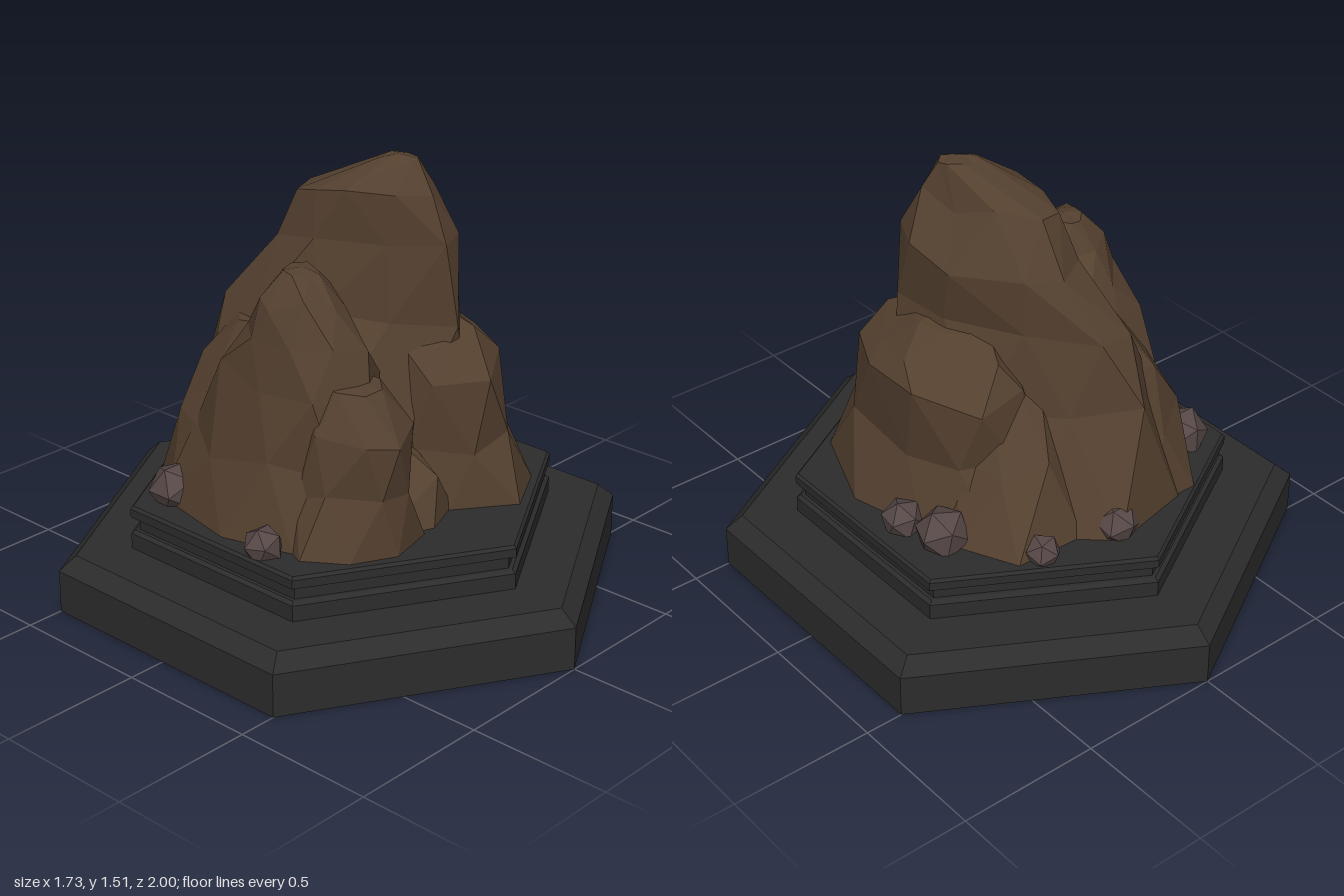
import * as THREE from 'three';

const stone = new THREE.MeshStandardMaterial({ color: 0x54402f, flatShading: true });
const pebbleStone = new THREE.MeshStandardMaterial({ color: 0x564847, flatShading: true });
const plinthStone = new THREE.MeshStandardMaterial({ color: 0x2c2c2c, flatShading: true });

function seeded(seed) {
  let s = seed;
  return () => (s = (s * 16807) % 2147483647) / 2147483647;
}

// Faceted rock from rings [y, centre x, centre z, radius x, radius z, skew of x along z];
// every ring is turned half a step so the facets interlock.
function rock(name, sides, seed, rings) {
  const rand = seeded(seed * 7919 + 13);
  for (let i = 0; i < 5; i++) rand();
  const jitter = (amount) => (rand() - 0.5) * 2 * amount;
  const pos = [], index = [];
  rings.forEach(([y, cx, cz, rx, rz, skew = 0], r) => {
    for (let i = 0; i < sides; i++) {
      const a = ((i + r * 0.5 + jitter(0.18)) / sides) * Math.PI * 2;
      const k = 1.04 + jitter(0.07);
      const dy = r === 0 ? 0 : jitter(r === rings.length - 1 ? 0.012 : 0.035);
      const z = Math.cos(a) * rz * k;
      pos.push(cx + Math.sin(a) * rx * k + z * skew, y + dy, cz + z);
    }
  });
  for (let r = 0; r < rings.length - 1; r++) {
    for (let i = 0; i < sides; i++) {
      const a = r * sides + i, b = r * sides + ((i + 1) % sides);
      index.push(a, b, a + sides, b, b + sides, a + sides);
    }
  }
  // cap
  const [y, cx, cz] = rings[rings.length - 1];
  const last = (rings.length - 1) * sides;
  pos.push(cx, y + 0.015, cz);
  for (let i = 0; i < sides; i++) index.push(last + i, last + ((i + 1) % sides), rings.length * sides);

  const geometry = new THREE.BufferGeometry();
  geometry.setAttribute('position', new THREE.Float32BufferAttribute(pos, 3));
  geometry.setIndex(index);
  const flat = geometry.toNonIndexed();
  flat.computeVertexNormals();
  const mesh = new THREE.Mesh(flat, stone);
  mesh.name = name;
  return mesh;
}

export function createModel() {
  const model = new THREE.Group();
  model.name = 'rockOnPlinth';

  // Stepped hexagonal plinth
  const profile = [
    [0, 0], [1, 0], [1, 0.15], [0.94, 0.2], [0.75, 0.2], [0.75, 0.255], [0.735, 0.265],
    [0.72, 0.265], [0.72, 0.31], [0.75, 0.315], [0.75, 0.345], [0.74, 0.355], [0, 0.355],
  ].map(([x, y]) => new THREE.Vector2(x, y));
  const plinthGeometry = new THREE.LatheGeometry(profile, 6).toNonIndexed();
  plinthGeometry.computeVertexNormals();
  const plinth = new THREE.Mesh(plinthGeometry, plinthStone);
  plinth.name = 'plinth';
  model.add(plinth);

  // Rock masses
  const rocks = new THREE.Group();
  rocks.name = 'rocks';
  rocks.add(
    rock('mainSpire', 9, 3, [
      [0.35, -0.02, -0.13, 0.43, 0.46, 0.15],
      [0.72, 0, -0.07, 0.3, 0.4, 0.4],
      [0.98, 0.04, -0.05, 0.2, 0.36, 0.4],
      [1.22, 0.1, 0.0, 0.185, 0.3, 0.32],
      [1.38, 0.07, 0.03, 0.13, 0.21, 0.3],
      [1.495, 0.12, 0.12, 0.06, 0.06, 0.2],
    ]),
    rock('rightShoulder', 9, 8, [
      [0.35, 0.26, 0.09, 0.3, 0.43],
      [0.56, 0.22, 0.09, 0.25, 0.39],
      [0.82, 0.23, 0.09, 0.235, 0.37, -0.12],
      [0.91, 0.22, 0.08, 0.2, 0.27, -0.1],
      [0.98, 0.21, 0.06, 0.1, 0.14],
    ]),
    rock('leftPeak', 8, 5, [
      [0.35, -0.31, -0.04, 0.29, 0.4],
      [0.6, -0.28, 0.01, 0.23, 0.34],
      [0.85, -0.27, 0.06, 0.2, 0.28],
      [1.0, -0.27, 0.07, 0.16, 0.22],
      [1.11, -0.27, 0.06, 0.13, 0.14],
      [1.185, -0.25, 0.04, 0.06, 0.06],
    ]),
    rock('frontLump', 8, 11, [
      [0.35, -0.29, 0.3, 0.24, 0.21],
      [0.54, -0.28, 0.29, 0.18, 0.19],
      [0.75, -0.28, 0.3, 0.17, 0.2],
      [0.88, -0.28, 0.26, 0.1, 0.13],
    ]),
    rock('frontFoot', 7, 29, [
      [0.35, -0.06, 0.31, 0.16, 0.16],
      [0.47, -0.06, 0.3, 0.12, 0.13],
      [0.58, -0.04, 0.25, 0.06, 0.07],
    ]),
    rock('backRightButtress', 7, 17, [
      [0.35, 0.24, -0.25, 0.24, 0.27],
      [0.6, 0.19, -0.21, 0.17, 0.2],
      [0.8, 0.14, -0.14, 0.09, 0.12],
    ]),
    rock('backLeftButtress', 7, 21, [
      [0.35, -0.25, -0.34, 0.21, 0.22],
      [0.6, -0.24, -0.28, 0.19, 0.2],
      [0.8, -0.22, -0.24, 0.14, 0.17],
      [0.95, -0.18, -0.18, 0.08, 0.12],
    ]),
  );
  model.add(rocks);

  // Loose pebbles around the foot: x, z, radius
  const pebbles = new THREE.Group();
  pebbles.name = 'pebbles';
  [
    [-0.5, -0.31, 0.095], [0.01, -0.55, 0.08], [0.29, -0.51, 0.062],
    [0.49, -0.24, 0.095], [0.54, -0.09, 0.075], [-0.59, 0.19, 0.07],
  ].forEach(([x, z, r], i) => {
    const pebble = new THREE.Mesh(new THREE.IcosahedronGeometry(r), pebbleStone);
    pebble.name = `pebble${i + 1}`;
    pebble.position.set(x, 0.355 + r * 0.4, z);
    pebble.rotation.set(i * 0.9, i * 1.7, i * 0.4);
    pebbles.add(pebble);
  });
  model.add(pebbles);

  return model;
}
